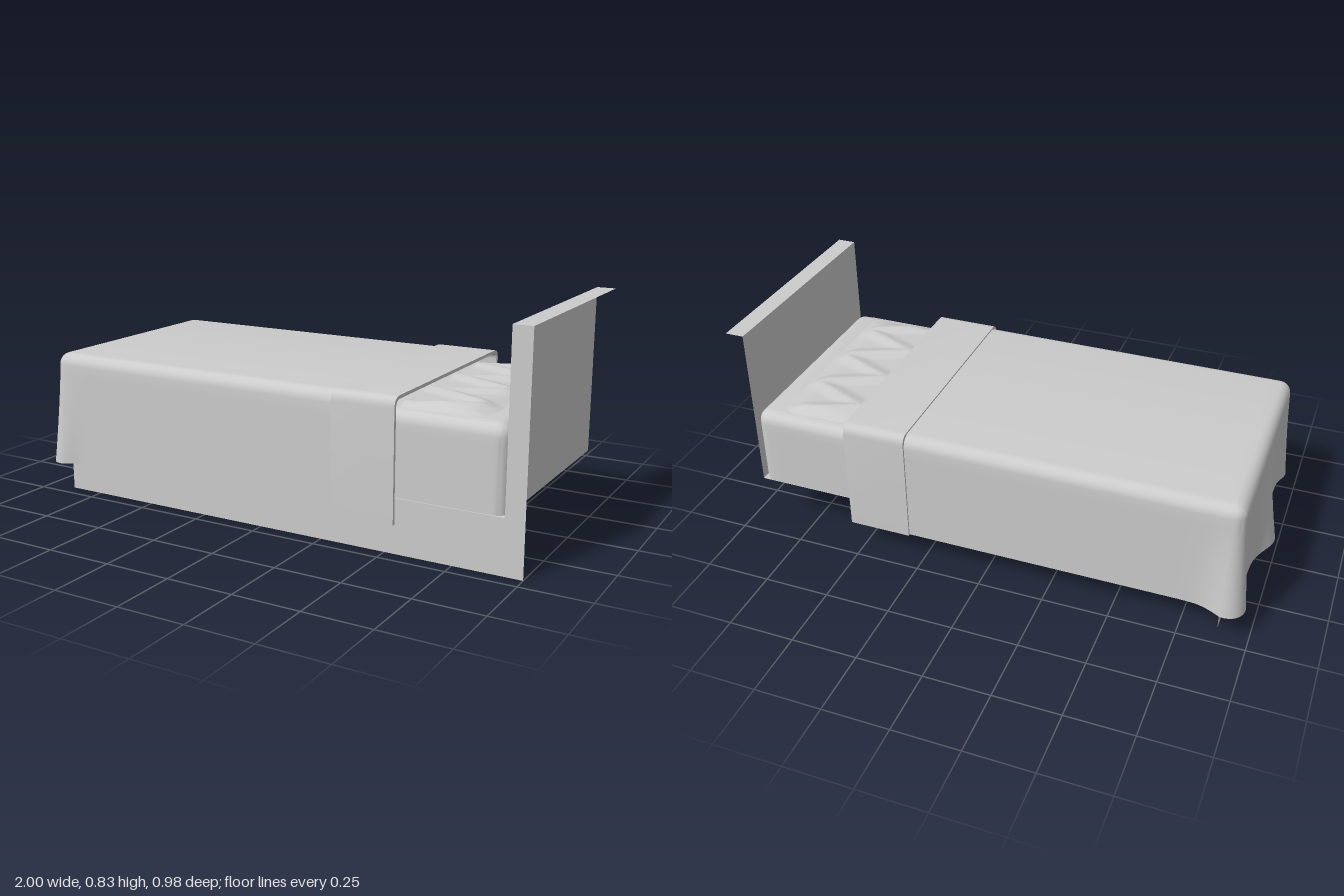
import * as THREE from 'three';
import { toCreasedNormals } from 'three/addons/utils/BufferGeometryUtils.js';

const material = new THREE.MeshStandardMaterial({ color: 0xcccccc, side: THREE.DoubleSide });
const Z0 = -0.425, Z1 = 0.445, MID = 0.01, WIDTH = Z1 - Z0;
const bell = (d, w) => Math.exp(-(d * d) / (w * w));

function add(parent, name, geometry) {
  const mesh = new THREE.Mesh(geometry, material);
  mesh.name = name;
  parent.add(mesh);
  return mesh;
}

// U-shaped plan with two rounded corners at xEnd; each point carries its outward normal
function uOutline(xOpen, xEnd, z0, z1, r) {
  const s = Math.sign(xOpen - xEnd), points = [];
  const put = (x, z, nx, nz) => points.push({ x, z, nx, nz });
  const xc = xEnd + s * r;
  const long = 28, arc = 8, cross = 48;
  for (let i = 0; i < long; i++) put(xOpen + (xc - xOpen) * Math.pow(i / long, 0.6), z0, 0, -1);
  for (let i = 0; i <= arc; i++) {
    const a = (i / arc) * Math.PI / 2, nx = -s * Math.sin(a), nz = -Math.cos(a);
    put(xc + r * nx, z0 + r + r * nz, nx, nz);
  }
  for (let i = 1; i < cross; i++) put(xEnd, z0 + r + (z1 - z0 - 2 * r) * i / cross, -s, 0);
  for (let i = arc; i >= 0; i--) {
    const a = (i / arc) * Math.PI / 2, nx = -s * Math.sin(a), nz = Math.cos(a);
    put(xc + r * nx, z1 - r + r * nz, nx, nz);
  }
  for (let i = long - 1; i >= 0; i--) put(xOpen + (xc - xOpen) * Math.pow(i / long, 0.6), z1, 0, 1);
  return s > 0 ? points : points.reverse();
}

// Cover: straight or flared walls, a rounded shoulder and a flat top closed on the centre line
function cover(outline, yBottom, yTop, r, flare = () => 0) {
  const layers = [], walls = 10, steps = 6;
  for (let i = 0; i < walls; i++) layers.push([0, yBottom + (yTop - r - yBottom) * i / walls]);
  for (let i = 0; i <= steps; i++) {
    const a = (i / steps) * Math.PI / 2;
    layers.push([r * (1 - Math.cos(a)), yTop - r + r * Math.sin(a)]);
  }
  const pos = [], index = [], n = outline.length;
  for (const [inset, y] of layers) {
    const t = Math.max(0, (yTop - r - y) / (yTop - r - yBottom));
    for (const p of outline) {
      const d = flare(p) * Math.pow(t, 1.25) - inset;
      pos.push(p.x + p.nx * d, y, p.z + p.nz * d);
    }
  }
  for (const p of outline) pos.push(p.x - p.nx * r, yTop, MID);
  for (let j = 0; j < layers.length; j++) {
    for (let i = 0; i < n - 1; i++) {
      const a = j * n + i, b = a + n;
      index.push(a, a + 1, b + 1, a, b + 1, b);
    }
  }
  const g = new THREE.BufferGeometry();
  g.setAttribute('position', new THREE.Float32BufferAttribute(pos, 3));
  g.setIndex(index);
  return toCreasedNormals(g, 0.6);
}

// Open panel frame: front side rail with headboard edge, foot, deck and headboard
function makeFrame() {
  const frame = new THREE.Group();
  frame.name = 'bedFrame';
  const side = new THREE.Shape([[-0.885, 0], [1, 0], [1, 0.83], [0.93, 0.83], [0.93, 0.2], [-0.885, 0.2]]
    .map(([x, y]) => new THREE.Vector2(x, y)));
  add(frame, 'sideRail', new THREE.ShapeGeometry(side)).position.z = Z1;
  const foot = new THREE.PlaneGeometry(WIDTH, 0.2).rotateY(-Math.PI / 2);
  add(frame, 'footPanel', foot).position.set(-0.885, 0.1, MID);
  const head = new THREE.PlaneGeometry(WIDTH, 0.63).rotateY(-Math.PI / 2);
  add(frame, 'headboardPanel', head).position.set(0.93, 0.515, MID);
  const cap = new THREE.PlaneGeometry(0.07, WIDTH).rotateX(-Math.PI / 2);
  add(frame, 'headboardTop', cap).position.set(0.965, 0.83, MID);
  const deck = new THREE.PlaneGeometry(1.815, WIDTH).rotateX(-Math.PI / 2);
  add(frame, 'deck', deck).position.set(0.0225, 0.2, MID);
  return frame;
}

// Creased sheet over the pillow: zigzag ridges that fade toward the headboard
function makePillowSheet() {
  const g = new THREE.PlaneGeometry(0.33, 0.81, 22, 72).rotateX(-Math.PI / 2).translate(0.695, 0, MID);
  const p = g.attributes.position;
  for (let i = 0; i < p.count; i++) {
    const x = p.getX(i), z = p.getZ(i);
    const u = THREE.MathUtils.clamp((0.81 - x) / 0.25, 0, 1);
    const phase = Math.abs((((z + 0.27) / 0.22) % 1 + 1) % 1 - 0.5) * 2;
    const ridge = Math.max(0, 1 - Math.abs(phase - u) * 2.2);
    const edge = THREE.MathUtils.smoothstep(0.405 - Math.abs(z - MID), 0, 0.07);
    const rise = THREE.MathUtils.smoothstep(0.86 - x, 0, 0.1);
    p.setY(i, 0.502 + edge * rise * (0.017 + 0.013 * ridge));
  }
  return toCreasedNormals(g, 0.5);
}

// Turned-back band: a thin U section run along the bed
function makeFold() {
  const w = 0.457, top = 0.552, r = 0.04, t = 0.012, low = 0.108;
  const s = new THREE.Shape();
  s.moveTo(-w, low);
  s.lineTo(-w, top - r);
  s.quadraticCurveTo(-w, top, -w + r, top);
  s.lineTo(w - r, top);
  s.quadraticCurveTo(w, top, w, top - r);
  s.lineTo(w, low);
  s.lineTo(w - t, low);
  s.lineTo(w - t, top - r);
  s.quadraticCurveTo(w - t, top - t, w - r, top - t);
  s.lineTo(-w + r, top - t);
  s.quadraticCurveTo(-w + t, top - t, -w + t, top - r);
  s.lineTo(-w + t, low);
  s.closePath();
  const g = new THREE.ExtrudeGeometry(s, { depth: 0.24, bevelEnabled: false, curveSegments: 6 });
  return toCreasedNormals(g.rotateY(Math.PI / 2).translate(0.3, 0, 0.005), 0.6);
}

export function createModel() {
  const bed = new THREE.Group();
  bed.name = 'bed';
  bed.add(makeFrame());

  add(bed, 'mattress', cover(uOutline(-0.87, 0.928, -0.423, 0.44, 0.045), 0.2, 0.505, 0.045));
  add(bed, 'pillowSheet', makePillowSheet());

  // Blanket flares at both foot corners and in the middle of the foot
  const flare = ({ x, z }) => {
    const middle = x < -0.9 ? 0.06 * bell(z, 0.1) : 0;
    const back = 0.047 * bell(Math.hypot(x + 0.925, z + 0.445), 0.075);
    const front = 0.04 * bell(Math.hypot(x + 0.92, z - 0.455), 0.06);
    return middle + back + front;
  };
  add(bed, 'blanket', cover(uOutline(0.535, -0.94, -0.445, 0.456, 0.045), 0.11, 0.546, 0.045, flare));
  add(bed, 'blanketFold', makeFold());
  return bed;
}
